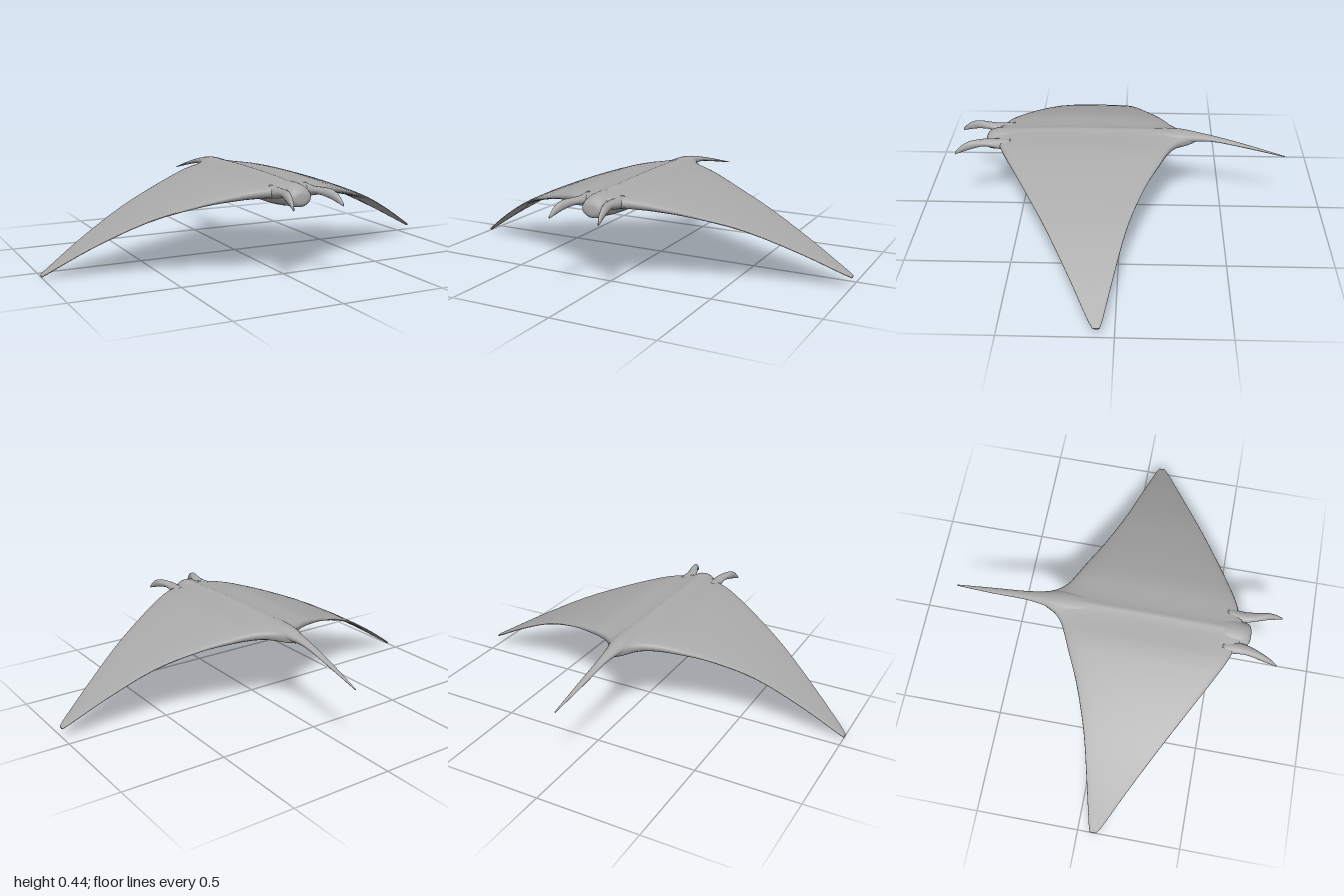
import * as THREE from 'three';

// Skins a list of closed rings (arrays of [x, y, z]) and closes both ends
function skin(rings) {
  const n = rings[0].length, pos = [], idx = [];
  for (const r of rings) for (const p of r) pos.push(...p);
  for (let i = 0; i < rings.length - 1; i++) {
    for (let j = 0; j < n; j++) {
      const k = (j + 1) % n;
      const a = i * n + j, b = i * n + k, c = a + n, d = b + n;
      idx.push(a, c, b, b, c, d);
    }
  }
  for (const end of [0, rings.length - 1]) {
    const r = rings[end], centre = pos.length / 3;
    for (let q = 0; q < 3; q++) pos.push(r.reduce((s, p) => s + p[q], 0) / n);
    for (let j = 0; j < n; j++) {
      const a = end * n + j, b = end * n + (j + 1) % n;
      if (end === 0) idx.push(centre, a, b);
      else idx.push(centre, b, a);
    }
  }
  const g = new THREE.BufferGeometry();
  g.setAttribute('position', new THREE.Float32BufferAttribute(pos, 3));
  g.setIndex(idx);
  g.computeVertexNormals();
  return g;
}

// Smooth interpolation through rows whose first entry is the key
function sample(rows, t) {
  let i = 0;
  while (i < rows.length - 2 && Math.abs(rows[i + 1][0] - rows[0][0]) < Math.abs(t - rows[0][0])) i++;
  const slope = (k, q) => {
    const a = rows[Math.max(k - 1, 0)], b = rows[Math.min(k + 1, rows.length - 1)];
    return (b[q] - a[q]) / (b[0] - a[0]);
  };
  const p = rows[i], r = rows[i + 1], h = r[0] - p[0], u = (t - p[0]) / h;
  return p.map((v, q) => q === 0 ? t :
    (2 * u ** 3 - 3 * u * u + 1) * v + (u ** 3 - 2 * u * u + u) * h * slope(i, q) +
    (3 * u * u - 2 * u ** 3) * r[q] + (u ** 3 - u * u) * h * slope(i + 1, q));
}

// Splits every span between rows into equal steps
function refine(rows, steps) {
  const out = [];
  for (let i = 0; i < rows.length - 1; i++)
    for (let s = 0; s < steps; s++)
      out.push(sample(rows, rows[i][0] + (rows[i + 1][0] - rows[i][0]) * s / steps));
  out.push(rows[rows.length - 1]);
  return out;
}

// Elliptical tube along z, rows run front to back: [z, centreX, centreY, radiusX, radiusY]
function tube(rows, sides = 20) {
  return skin(refine(rows, 4).map(([z, x, y, rx, ry]) =>
    Array.from({ length: sides }, (_, j) => {
      const a = j / sides * Math.PI * 2;
      return [x + Math.cos(a) * rx, y + Math.sin(a) * ry, z];
    })));
}

// Wing stations: [x, leading z, trailing z, top y, bottom y]
const WING = [
  [0, 0.62, -0.38, 0.443, 0.345],
  [0.03, 0.615, -0.345, 0.436, 0.345],
  [0.06, 0.605, -0.29, 0.432, 0.345],
  [0.1, 0.585, -0.25, 0.428, 0.345],
  [0.15, 0.565, -0.222, 0.423, 0.342],
  [0.22, 0.53, -0.19, 0.408, 0.335],
  [0.37, 0.447, -0.12, 0.36, 0.31],
  [0.58, 0.328, -0.045, 0.275, 0.25],
  [0.8, 0.205, 0.01, 0.158, 0.14],
  [0.97, 0.113, 0.05, 0.053, 0.04],
  [1, 0.092, 0.06, 0.034, 0.022],
];

function wingGeometry() {
  const half = refine(WING, 3);
  const stations = [
    ...half.slice(1).reverse().map(([x, ...rest]) => [-x, ...rest]),
    ...half,
  ];
  const sides = 40;
  return skin(stations.map(([x, front, back, top, bottom]) => {
    const lift = 0.022 * x ** 3;                  // wings are caught mid-beat
    const edge = bottom + (top - bottom) * 0.6;
    const power = 0.5 + 0.35 * Math.min(1, Math.abs(x) / 0.4);
    return Array.from({ length: sides }, (_, j) => {
      const a = j / sides * Math.PI * 2, s = Math.sin(a);
      const bulge = Math.pow(Math.abs(s), power);
      const y = edge + bulge * ((s >= 0 ? top : bottom) - edge);
      return [x, y + lift, front + (back - front) * (1 - Math.cos(a)) / 2];
    });
  }));
}

export function createModel() {
  const model = new THREE.Group();
  model.name = 'ray';
  const grey = new THREE.MeshStandardMaterial({ color: 0xaaaaaa });
  grey.name = 'skin grey';
  const add = (name, geometry) => {
    const mesh = new THREE.Mesh(geometry, grey);
    mesh.name = name;
    model.add(mesh);
  };

  add('wings', wingGeometry());

  // Snout, belly keel and whip tail
  add('bodyAndTail', tube([
    [0.657, 0, 0.372, 0.03, 0.022],
    [0.645, 0, 0.374, 0.052, 0.04],
    [0.6, 0, 0.38, 0.062, 0.05],
    [0.52, 0, 0.376, 0.075, 0.056],
    [0.4, 0, 0.37, 0.075, 0.058],
    [0.2, 0, 0.372, 0.07, 0.06],
    [0, 0, 0.382, 0.065, 0.052],
    [-0.15, 0, 0.396, 0.06, 0.042],
    [-0.28, 0, 0.403, 0.052, 0.033],
    [-0.36, 0, 0.402, 0.032, 0.022],
    [-0.45, 0.002, 0.392, 0.021, 0.013],
    [-0.6, 0.009, 0.359, 0.015, 0.008],
    [-0.8, 0.023, 0.31, 0.003, 0.002],
  ]));

  // Curled head fins either side of the mouth
  for (const [side, name] of [[1, 'leftHeadFin'], [-1, 'rightHeadFin']]) {
    add(name, tube([
      [0.797, 0.121, 0.36, 0.003, 0.006],
      [0.765, 0.114, 0.381, 0.01, 0.017],
      [0.72, 0.104, 0.397, 0.017, 0.021],
      [0.66, 0.087, 0.402, 0.023, 0.017],
      [0.61, 0.08, 0.395, 0.027, 0.022],
      [0.53, 0.085, 0.39, 0.03, 0.03],
    ].map(([z, x, ...rest]) => [z, x * side, ...rest]), 14));
  }
  return model;
}
